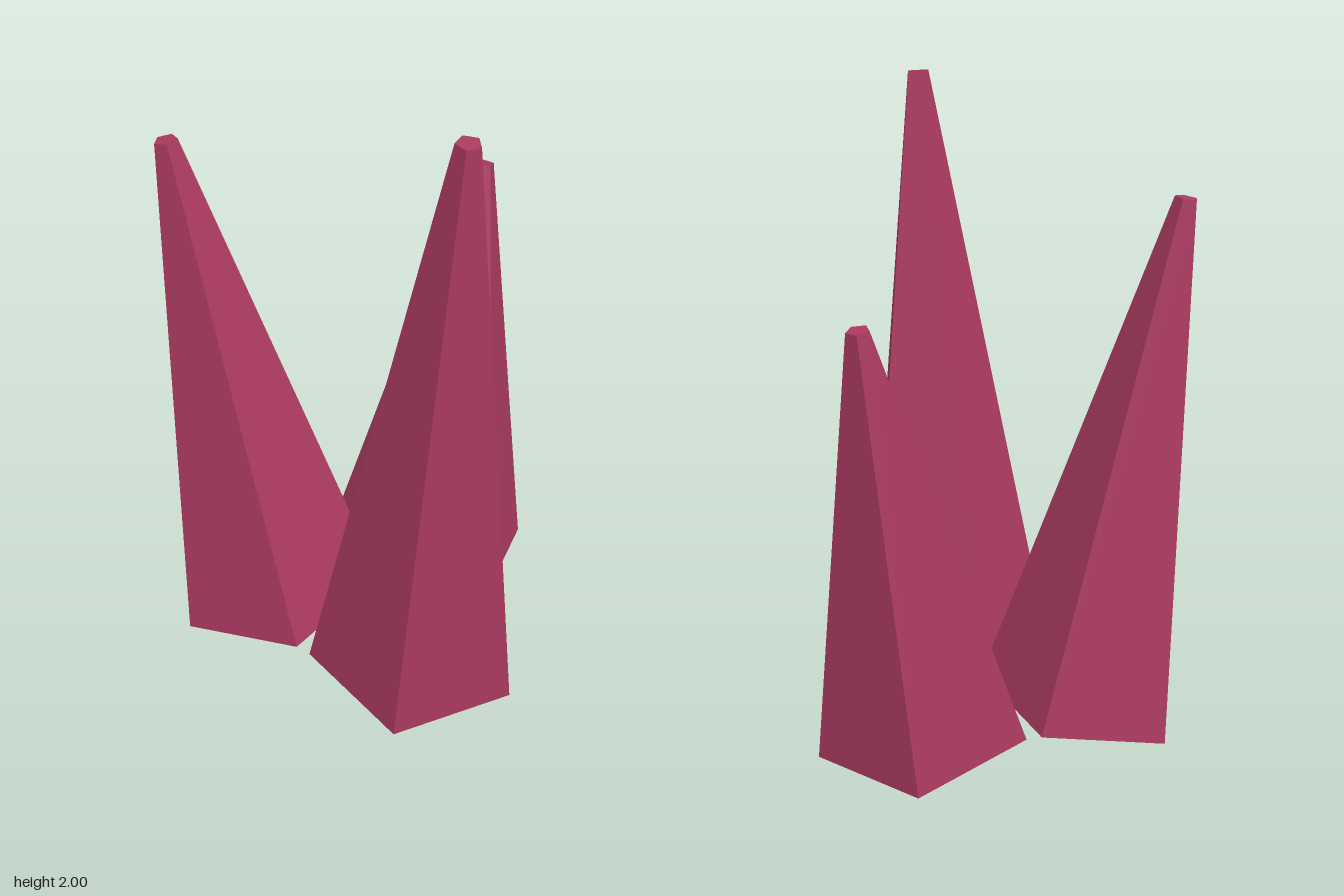
import * as THREE from 'three';

const BASE_RADIUS = 0.34, TIP_RADIUS = 0.036;
const RING = 0.32; // distance of each base centre from the cluster centre
const LEAN = 0.27; // horizontal run from base centre to tip centre

// Five-sided tapered crystal leaning outwards along +x, one edge facing inwards
function crystal(name, rise, turn, material) {
  const length = Math.hypot(rise, LEAN);
  const geometry = new THREE.CylinderGeometry(TIP_RADIUS, BASE_RADIUS, length, 5);
  geometry.rotateY(-Math.PI / 2);
  geometry.translate(0, length / 2, 0);
  geometry.rotateZ(-Math.atan2(LEAN, rise));
  geometry.translate(RING, 0.055, 0);
  const mesh = new THREE.Mesh(geometry, material);
  mesh.name = name;
  mesh.rotation.y = turn;
  mesh.position.x = -0.075;
  return mesh;
}

export function createModel() {
  const crimson = new THREE.MeshStandardMaterial({ color: 0xaa3a60, flatShading: true });
  crimson.name = 'crimson crystal';

  const model = new THREE.Group();
  model.name = 'crystalCluster';
  const third = (2 * Math.PI) / 3;
  model.add(
    crystal('shortCrystal', 1.348, 0, crimson),
    crystal('middleCrystal', 1.645, third, crimson),
    crystal('tallCrystal', 1.94, -third, crimson)
  );
  return model;
}
